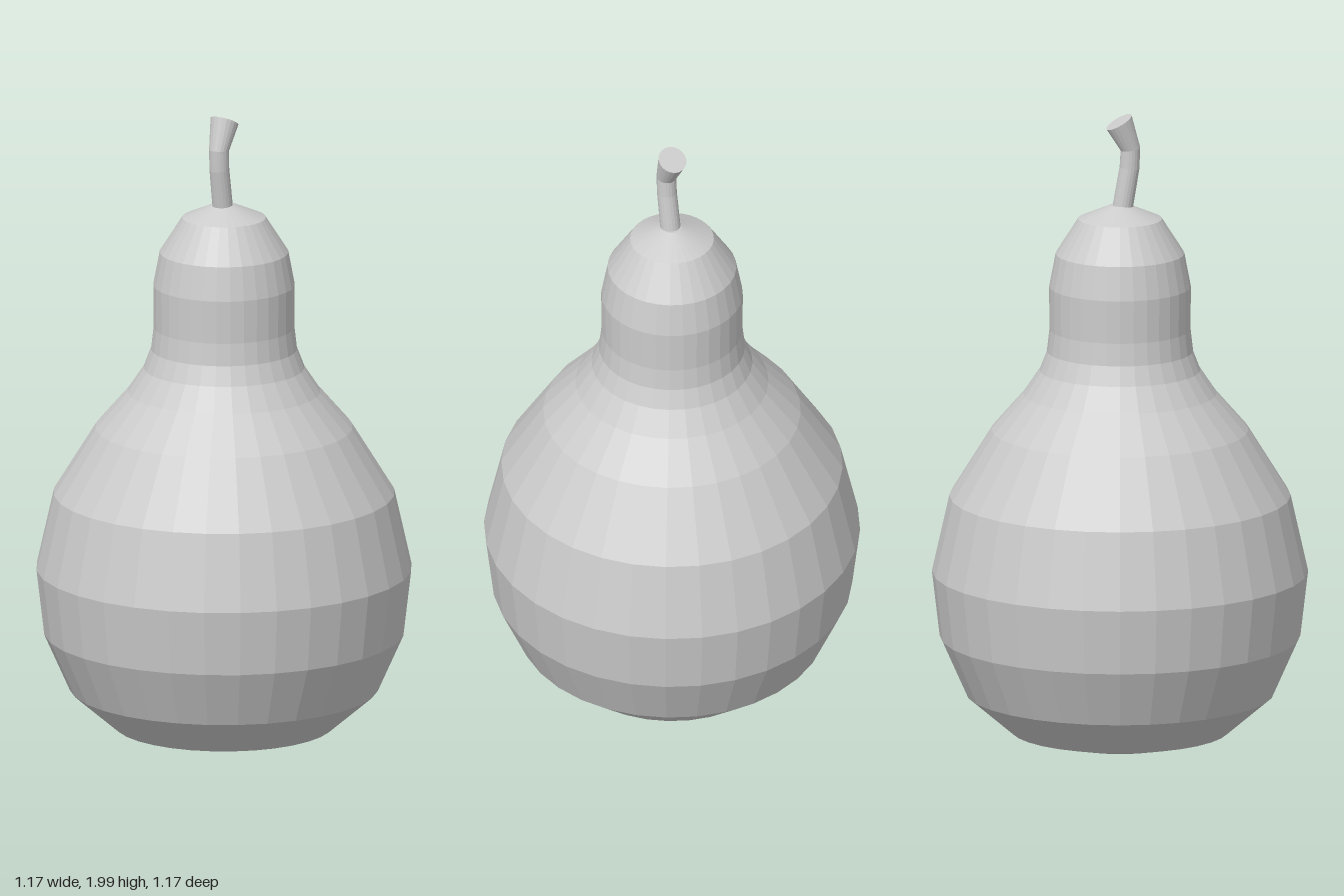
import * as THREE from 'three';

const material = new THREE.MeshStandardMaterial({ color: 0xcccccc, flatShading: true });

// Pear body: faceted lathe with a shallow dimple underneath
function makeBody() {
  const profile = [
    [0, 0.03], [0.175, 0.005], [0.34, 0.045], [0.48, 0.165], [0.56, 0.345], [0.584, 0.55],
    [0.53, 0.79], [0.4, 1.0], [0.3, 1.115], [0.25, 1.19], [0.227, 1.25], [0.219, 1.32],
    [0.22, 1.455], [0.2, 1.56], [0.13, 1.67], [0.03, 1.713], [0, 1.713],
  ].map(([r, y]) => new THREE.Vector2(r, y));
  const body = new THREE.Mesh(new THREE.LatheGeometry(profile, 32), material);
  body.name = 'pearBody';
  return body;
}

// Bent stem: cylinder whose rings are moved, scaled and tilted along a path
function makeStem() {
  // centre y, centre z, radius, tilt about x (top to bottom)
  const rings = [
    [1.977, -0.003, 0.045, -0.52],
    [1.89, 0.033, 0.031, -0.15],
    [1.83, 0.03, 0.031, 0.1],
    [1.69, 0.006, 0.032, 0.18],
  ];
  const geometry = new THREE.CylinderGeometry(1, 1, 1, 20, rings.length - 1);
  const pos = geometry.attributes.position;
  for (let i = 0; i < pos.count; i++) {
    const [y, z, r, tilt] = rings[Math.round((0.5 - pos.getY(i)) * (rings.length - 1))];
    const across = pos.getZ(i) * r;
    pos.setXYZ(i, pos.getX(i) * r, y - across * Math.sin(tilt), z + across * Math.cos(tilt));
  }
  geometry.computeVertexNormals();
  const stem = new THREE.Mesh(geometry, material);
  stem.name = 'stem';
  return stem;
}

export function createModel() {
  const pear = new THREE.Group();
  pear.name = 'pear';
  pear.add(makeBody(), makeStem());
  return pear;
}
